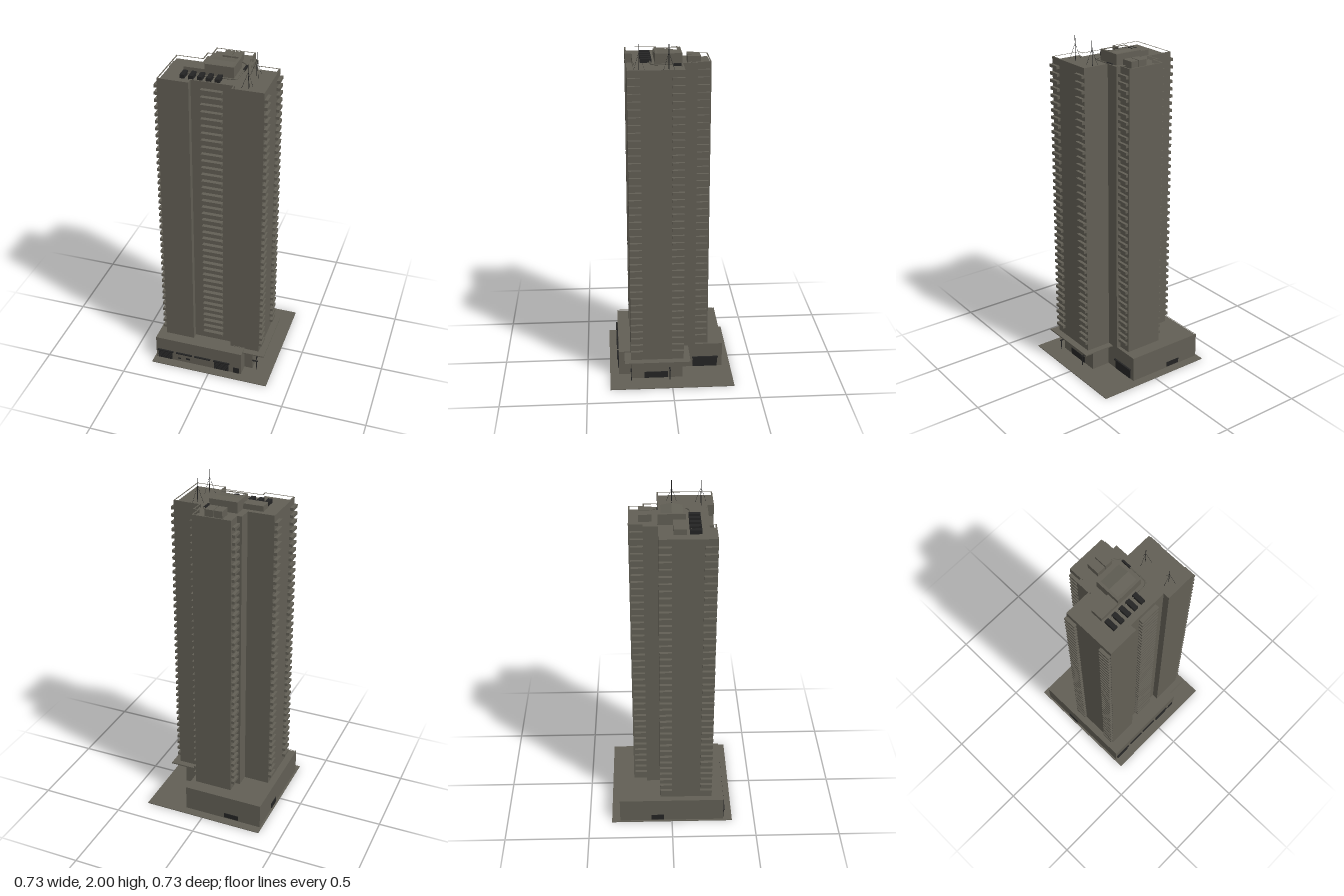
import * as THREE from 'three';
import { mergeGeometries } from 'three/addons/utils/BufferGeometryUtils.js';

const concrete = new THREE.MeshStandardMaterial({ color: 0x625f55 });
concrete.name = 'concrete';
const dark = new THREE.MeshStandardMaterial({ color: 0x242424 });
dark.name = 'darkMetal';

// Box geometry from its min and max corners
function boxGeo(x0, x1, y0, y1, z0, z1) {
  return new THREE.BoxGeometry(x1 - x0, y1 - y0, z1 - z0)
    .translate((x0 + x1) / 2, (y0 + y1) / 2, (z0 + z1) / 2);
}

// Upright prism from a plan outline of [x, z] points, with an optional hole
function prism(outline, y0, y1, hole) {
  const pts = (list) => list.map(([x, z]) => new THREE.Vector2(x, -z));
  const shape = new THREE.Shape(pts(outline));
  if (hole) shape.holes.push(new THREE.Path(pts(hole)));
  return new THREE.ExtrudeGeometry(shape, { depth: y1 - y0, bevelEnabled: false })
    .rotateX(-Math.PI / 2).translate(0, y0, 0);
}

// Inset a right-angled outline listed clockwise on plan (x right, z down)
function inset(outline, d) {
  const n = outline.length;
  const normal = (a, b) => {
    const dx = b[0] - a[0], dz = b[1] - a[1], l = Math.hypot(dx, dz);
    return [-dz / l, dx / l];
  };
  return outline.map((p, i) => {
    const a = normal(outline[(i + n - 1) % n], p), b = normal(p, outline[(i + 1) % n]);
    return [p[0] + d * (a[0] + b[0]), p[1] + d * (a[1] + b[1])];
  });
}

// Thin cylinder between two points
function rod(a, b, r) {
  const p = new THREE.Vector3(...a), q = new THREE.Vector3(...b);
  return new THREE.TubeGeometry(new THREE.LineCurve3(p, q), 1, r, 6);
}

export function createModel() {
  const model = new THREE.Group();
  model.name = 'apartmentTower';
  const add = (name, geos, material = concrete) => {
    const mesh = new THREE.Mesh(Array.isArray(geos) ? mergeGeometries(geos) : geos, material);
    mesh.name = name;
    model.add(mesh);
  };

  // Ground slab
  add('groundSlab', boxGeo(-0.365, 0.365, 0, 0.004, -0.365, 0.365));

  // Podium with low parapet
  const podium = [[-0.354, -0.315], [0.127, -0.315], [0.127, 0.24], [0.193, 0.24],
    [0.193, 0.311], [-0.354, 0.311]];
  add('podium', prism(podium, 0.004, 0.15));
  add('podiumParapet', prism(podium, 0.15, 0.156, inset(podium, 0.004)));

  // Entrance lobby and canopy on the left side
  add('lobby', boxGeo(0.12, 0.245, 0.004, 0.15, -0.065, 0.239));
  add('canopy', prism([[0.127, -0.108], [0.323, -0.108], [0.323, 0.278], [0.193, 0.278],
    [0.193, 0.24], [0.127, 0.24]], 0.142, 0.149));

  // Tower shaft with roof parapet
  const tower = [[-0.309, -0.07], [-0.156, -0.07], [-0.156, -0.15], [-0.128, -0.15],
    [-0.128, -0.228], [0.1, -0.228], [0.1, -0.15], [0.128, -0.15], [0.128, -0.07],
    [0.282, -0.07], [0.282, 0.24], [0.103, 0.24], [0.103, 0.204], [-0.132, 0.204],
    [-0.132, 0.24], [-0.309, 0.24]];
  const deck = 1.862, top = 1.883;
  add('towerShaft', prism(tower, 0.143, deck));
  add('roofParapet', prism(tower, deck, top, inset(tower, 0.008)));

  // Balcony stacks: x0, x1, z0, z1
  const stacks = {
    rightRearBalconies: [-0.328, -0.308, -0.07, 0],
    rightFrontBalconies: [-0.328, -0.308, 0.17, 0.24],
    leftRearBalconies: [0.281, 0.3, -0.07, 0],
    leftFrontBalconies: [0.281, 0.3, 0.17, 0.24],
    backRightBalconies: [-0.146, -0.127, -0.22, -0.149],
    backLeftBalconies: [0.099, 0.117, -0.22, -0.149],
    frontBalconies: [-0.073, 0.046, 0.203, 0.229],
  };
  for (const [name, [x0, x1, z0, z1]] of Object.entries(stacks)) {
    const floors = [];
    for (let i = 0; i < 39; i++) {
      const y = 0.193 + i * 0.043;
      floors.push(boxGeo(x0, x1, y, y + 0.017, z0, z1));
    }
    add(name, floors);
  }

  // Penthouse with raised rim and shallow pitched skylight
  const house = [[-0.097, -0.07], [0.068, -0.07], [0.068, 0.08], [-0.097, 0.08]];
  const well = inset(house, 0.015);
  add('penthouse', prism(house, deck, 1.908));
  add('penthouseRim', prism(house, 1.908, 1.925, well));
  const gable = new THREE.Shape([[-0.066, 0], [0.066, 0], [0, 0.014]]
    .map(([x, y]) => new THREE.Vector2(x, y)));
  add('skylight', new THREE.ExtrudeGeometry(gable, { depth: 0.135, bevelEnabled: false })
    .rotateY(Math.PI / 2).translate(-0.082, 1.908, 0.005));
  add('plantRoom', boxGeo(-0.214, -0.097, deck, 1.893, 0.01, 0.08));
  add('waterTanks', [boxGeo(-0.054, -0.005, deck, 1.903, -0.175, -0.102),
    boxGeo(0, 0.048, deck, 1.903, -0.175, -0.102)]);

  // Row of roof cooling units
  const units = [];
  for (let i = 0; i < 5; i++) {
    const x = -0.209 + i * 0.049;
    units.push(boxGeo(x, x + 0.026, deck, 1.884, 0.097, 0.161));
  }
  add('coolingUnits', units, dark);

  // Roof pipe bending round from the cooling units to the tanks
  const path = new THREE.CurvePath();
  const v = (x, z) => new THREE.Vector3(x, deck + 0.008, z);
  path.add(new THREE.LineCurve3(v(-0.2, 0.106), v(0.05, 0.106)));
  path.add(new THREE.QuadraticBezierCurve3(v(0.05, 0.106), v(0.094, 0.106), v(0.094, 0.075)));
  path.add(new THREE.LineCurve3(v(0.094, 0.075), v(0.094, -0.075)));
  path.add(new THREE.QuadraticBezierCurve3(v(0.094, -0.075), v(0.094, -0.095), v(0.048, -0.122)));
  add('roofPipe', new THREE.TubeGeometry(path, 80, 0.004, 8));
  add('pipeJoint', boxGeo(0.089, 0.099, deck, deck + 0.014, -0.075, -0.02), dark);

  // Two antenna masts with splayed struts
  for (const z of [0.01, 0.172]) {
    const mast = [rod([0.174, deck, z], [0.174, 2, z], 0.0015)];
    for (let i = 0; i < 3; i++) {
      const a = Math.PI + i * Math.PI * 2 / 3;
      mast.push(rod([0.174, 1.955, z],
        [0.174 + 0.035 * Math.cos(a), deck, z + 0.035 * Math.sin(a)], 0.0008));
    }
    add('antenna', mast, dark);
  }

  // Street-front awnings, shutters and small openings
  const bays = [-0.345, -0.224, -0.106, 0.018];
  add('frontAwnings', bays.map((x) => boxGeo(x, x + 0.103, 0.064, 0.071, 0.311, 0.321)), dark);
  for (const x of [-0.34, 0.022]) {
    const slats = [boxGeo(x, x + 0.09, 0.005, 0.064, 0.31, 0.313)];
    for (let i = 0; i < 6; i++) {
      slats.push(boxGeo(x, x + 0.09, 0.008 + i * 0.01, 0.013 + i * 0.01, 0.313, 0.316));
    }
    add('frontShutter', slats, dark);
  }
  add('frontVents', [boxGeo(-0.215, -0.195, 0.022, 0.03, 0.31, 0.313),
    boxGeo(-0.16, -0.135, 0.026, 0.038, 0.31, 0.313)], dark);
  add('sideDoor', boxGeo(0.142, 0.182, 0.005, 0.045, 0.31, 0.313), dark);

  // Loading bay, rear opening and lobby doors
  add('loadingBay', [boxGeo(0.126, 0.13, 0.005, 0.064, -0.285, -0.138),
    boxGeo(0.126, 0.138, 0.064, 0.071, -0.29, -0.133)], dark);
  add('rearOpening', boxGeo(-0.215, -0.125, 0.01, 0.04, -0.318, -0.314), dark);
  add('flankOpening', boxGeo(-0.357, -0.353, 0.01, 0.045, -0.125, -0.05), dark);
  add('lobbyDoors', boxGeo(0.244, 0.248, 0.005, 0.045, 0.02, 0.16), dark);

  // Forecourt lamps
  for (const z of [0.01, 0.24]) {
    add('forecourtLamp', [boxGeo(0.268, 0.272, 0.004, 0.068, z - 0.002, z + 0.002),
      boxGeo(0.244, 0.28, 0.066, 0.071, z - 0.004, z + 0.004)], dark);
  }

  return model;
}
